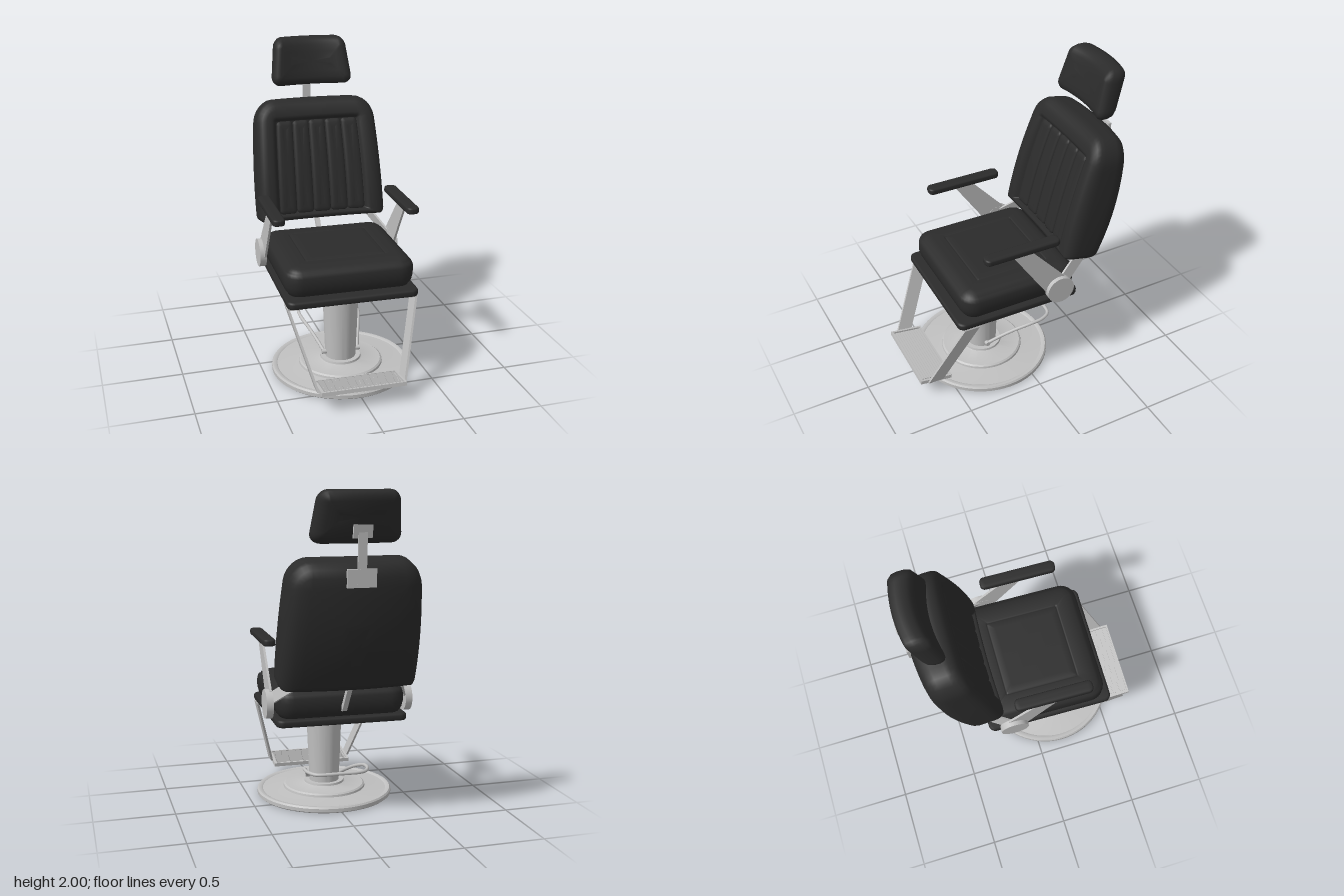
import * as THREE from 'three';
import { mergeVertices, toCreasedNormals } from 'three/addons/utils/BufferGeometryUtils.js';

const V = (x, y, z) => new THREE.Vector3(x, y, z);

// Closed rounded-rectangle loop; the bottom edge may have its own inset factor and radius
function loop(w, h, R, inset, k, Rb) {
  const x = w / 2 - inset, top = h / 2 - inset, bot = -h / 2 + inset * k;
  const rt = Math.max(R - inset, 0.008), rb = Math.max(Rb - inset, 0.008);
  const corners = [[x - rt, top - rt, rt, 0], [-x + rt, top - rt, rt, 1], [-x + rb, bot + rb, rb, 2], [x - rb, bot + rb, rb, 3]];
  const arcs = corners.map(([cx, cy, r, q]) => Array.from({ length: 7 }, (_, i) => {
    const a = (q + i / 6) * Math.PI / 2;
    return [cx + r * Math.cos(a), cy + r * Math.sin(a)];
  }));
  const pts = [];
  arcs.forEach((arc, q) => {
    pts.push(...arc);
    const a = arc[6], b = arcs[(q + 1) % 4][0];
    for (let i = 1; i < 16; i++) pts.push([a[0] + (b[0] - a[0]) * i / 16, a[1] + (b[1] - a[1]) * i / 16]);
  });
  return pts;
}

// Upholstered pad: rings of [inset, depth] run from the face centre round to the rear centre
function padGeometry(w, h, R, rings, place, k = 1, Rb = R) {
  const pos = [], index = [];
  const put = (x, s, d) => pos.push(...place(x, s, d));
  const loops = rings.map(([inset]) => loop(w, h, R, inset, k, Rb));
  const n = loops[0].length;
  loops.forEach((pts, j) => pts.forEach(([x, s]) => put(x, s, rings[j][1])));
  for (let j = 0; j < rings.length - 1; j++) for (let i = 0; i < n; i++) {
    const a = j * n + i, b = j * n + (i + 1) % n;
    index.push(a, a + n, b + n, a, b + n, b);
  }
  const last = rings.length - 1, c = rings.length * n;
  put(0, rings[0][0] * (k - 1) / 2, rings[0][1]);
  put(0, rings[last][0] * (k - 1) / 2, rings[last][1]);
  for (let i = 0; i < n; i++) {
    const e = (i + 1) % n;
    index.push(c, i, e, c + 1, last * n + e, last * n + i);
  }
  const g = new THREE.BufferGeometry();
  g.setAttribute('position', new THREE.Float32BufferAttribute(pos, 3));
  g.setIndex(index);
  g.computeVertexNormals();
  return g;
}

// Slanted block spanned by three edge vectors
function slabGeometry(center, a, b, c) {
  const m = new THREE.Matrix4().makeBasis(a, b, c);
  if (m.determinant() < 0) m.makeBasis(a.clone().negate(), b, c);
  return new THREE.BoxGeometry(1, 1, 1).applyMatrix4(m.setPosition(center));
}

// Bent shell of the backrest: x across, y up, d depth behind the face
function backShape(x, y, d) {
  const u = (y - 0.9) / 0.71;
  const thick = (0.245 + 0.2 * u - 0.245 * u * u) / 0.25;
  const hollow = 1 - (x / 0.42) ** 2;
  const z = -0.215 - 0.13 * u - 0.085 * u * u - hollow * (0.015 + 0.16 * d) - d * thick;
  return [x * (1 - 0.08 * u * u), y - 0.22 * d * thick, z];
}

export function createModel() {
  const model = new THREE.Group();
  const black = new THREE.MeshStandardMaterial({ color: 0x2b2b2b });
  black.name = 'black upholstery';
  const metal = new THREE.MeshStandardMaterial({ color: 0xc0c0c0 });
  metal.name = 'light grey metal';
  const add = (name, geometry, material, parent = model) => {
    const mesh = new THREE.Mesh(geometry, material);
    mesh.name = name;
    parent.add(mesh);
    return mesh;
  };
  const box = (name, w, h, d, x, y, z, parent) => {
    const mesh = add(name, new THREE.BoxGeometry(w, h, d), metal, parent);
    mesh.position.set(x, y, z);
    return mesh;
  };

  // Stepped round base and pump column
  const turned = (name, pts, z) => {
    const g = new THREE.LatheGeometry(pts.map(p => new THREE.Vector2(...p)), 64);
    g.deleteAttribute('uv');
    g.deleteAttribute('normal');
    add(name, toCreasedNormals(mergeVertices(g), 0.6), metal).position.z = z;
  };
  turned('base', [[0, 0], [0.43, 0], [0.44, 0.008], [0.44, 0.03], [0.432, 0.04], [0.415, 0.04], [0.405, 0.034],
    [0.29, 0.042], [0.268, 0.045], [0.265, 0.058], [0.255, 0.066], [0.14, 0.07], [0.13, 0.075], [0.127, 0.088], [0, 0.088]], 0.172);
  turned('column', [[0, 0.08], [0.097, 0.08], [0.113, 0.485], [0.12, 0.487], [0.12, 0.499], [0.116, 0.503], [0, 0.503]], 0.172);
  const rod = add('pistonRod', new THREE.CylinderGeometry(0.017, 0.017, 0.1, 24), metal);
  rod.position.set(0, 0.54, 0.215);

  // Pump lever loop around the back of the column
  const half = [[0.11, 0.12, 0.18], [0.135, 0.165, 0.1], [0.165, 0.21, 0.01], [0.195, 0.247, -0.1], [0.19, 0.253, -0.19], [0.15, 0.253, -0.25]];
  const path = [...half.map(p => V(...p)), V(0, 0.253, -0.26), ...half.map(p => V(-p[0], p[1], p[2])).reverse()];
  add('pumpLever', new THREE.TubeGeometry(new THREE.CatmullRomCurve3(path), 90, 0.011, 10), metal);
  const axle = add('leverAxle', new THREE.CylinderGeometry(0.015, 0.015, 0.25, 16).rotateZ(Math.PI / 2), metal);
  axle.position.set(0, 0.12, 0.18);

  // Seat board and seat cushion with a stitched panel
  add('seatBoard', padGeometry(0.82, 0.825, 0.045, [[0.3, 0], [0.015, 0], [0.004, 0.005], [0, 0.014], [0, 0.032], [0.004, 0.042], [0.015, 0.046], [0.3, 0.046]],
    (x, s, d) => [x, 0.627 - d, 0.09 - s]), black);
  const seatRings = [[0.3, 0], [0.2, 0], [0.163, 0], [0.158, 0.007], [0.15, 0.007], [0.145, 0], [0.08, 0.002], [0.045, 0.009], [0.026, 0.022],
    [0.022, 0.032], [0.01, 0.036], [0.002, 0.055], [0, 0.085], [0.001, 0.115], [0.01, 0.15], [0.03, 0.178], [0.045, 0.185], [0.3, 0.185]];
  add('seatCushion', padGeometry(0.81, 0.78, 0.1, seatRings, (x, s, d) => [x, 0.81 - d, 0.07 - s]), black);

  // Backrest: bolstered shell with a recessed panel of five upright ribs
  const backRings = [[0.36, 0.03], [0.3, 0.03], [0.24, 0.03], [0.18, 0.03], [0.138, 0.03], [0.128, 0.022], [0.118, 0.006], [0.1, 0], [0.065, 0],
    [0.035, 0.006], [0.014, 0.022], [0.002, 0.05], [0, 0.08], [0, 0.17], [0.008, 0.205], [0.03, 0.235], [0.07, 0.248],
    [0.12, 0.25], [0.18, 0.25], [0.25, 0.25], [0.32, 0.25], [0.36, 0.25]];
  add('backrest', padGeometry(0.84, 0.755, 0.13, backRings, (x, s, d) => backShape(x, 1.2525 + s, d), 0.35, 0.04), black);
  const ribRings = [[0.045, 0.015], [0.025, 0.015], [0.01, 0.017], [0.003, 0.021], [0, 0.028], [0, 0.045]];
  for (let i = -2; i <= 2; i++) {
    add('backRib', padGeometry(0.113, 0.58, 0.025, ribRings, (x, s, d) => backShape(x + i * 0.114, 1.208 + s, d)), black);
  }

  // Headrest, hollowed across the front and narrower at the top
  const headRings = [[0.13, 0], [0.09, 0], [0.05, 0.002], [0.025, 0.01], [0.008, 0.027], [0, 0.055], [0, 0.09], [0.008, 0.12], [0.03, 0.14],
    [0.06, 0.146], [0.1, 0.148], [0.13, 0.148]];
  add('headrest', padGeometry(0.54, 0.3, 0.06, headRings, (x, s, d) => {
    const v = s / 0.3 + 0.5;
    const front = 0.045 * (1 - (x / 0.27) ** 2);
    return [x * (1 - 0.14 * v), 1.852 + s - 0.04 * d, -0.465 - 0.08 * v - front * (1 - 2 * d) - d * (0.95 + 0.1 * v)];
  }), black);

  // Headrest bracket behind the back
  const strip = (name, y0, z0, y1, z1, w, t) => add(name, slabGeometry(
    V(0, (y0 + y1) / 2, (z0 + z1) / 2), V(w, 0, 0), V(0, y1 - y0, z1 - z0), V(0, 0, t)), metal);
  strip('headrestStalk', 1.47, -0.686, 1.8, -0.706, 0.052, 0.012);
  strip('headrestPlate', 1.735, -0.694, 1.81, -0.71, 0.11, 0.018);
  strip('backPlate', 1.46, -0.681, 1.565, -0.688, 0.17, 0.02);
  strip('backStrut', 0.67, -0.315, 0.86, -0.46, 0.03, 0.04);

  // Arms, hinges and foot straps on both sides
  const armShape = new THREE.Shape([[0.16, 1.058], [0.04, 1.058], [-0.2, 0.79], [-0.2, 0.68], [-0.09, 0.68]].map(p => new THREE.Vector2(...p)));
  const armRings = [[0.03, 0], [0.01, 0], [0.003, 0.003], [0, 0.01], [0, 0.03], [0.003, 0.037], [0.01, 0.04], [0.03, 0.04]];
  for (const s of [1, -1]) {
    const side = new THREE.Group();
    side.name = s > 0 ? 'leftSide' : 'rightSide';
    model.add(side);
    add('armPad', padGeometry(0.078, 0.495, 0.03, armRings, (x, t, d) => [x + s * 0.417, 1.092 - d, 0.09 - t]), black, side);
    const arm = add('armSupport', new THREE.ExtrudeGeometry(armShape, { depth: 0.014, bevelEnabled: false }).rotateY(-Math.PI / 2), metal, side);
    arm.position.x = s * 0.425 + 0.007;
    const disc = new THREE.CylinderGeometry(0.09, 0.09, 0.042, 40).rotateZ(Math.PI / 2);
    add('hingeDisc', disc, metal, side).position.set(s * 0.438, 0.703, -0.167);
    add('backBracket', slabGeometry(V(s * 0.375, 0.805, -0.3), V(0.014, 0, 0), V(-s * 0.11, 0.15, -0.25), V(0, -0.06, -0.05)), metal, side);
    add('footStrap', slabGeometry(V(s * 0.335, 0.343, 0.52), V(0.014, 0, 0), V(s * 0.13, 0.465, -0.205), V(0, 0, 0.1)), metal, side);
    box('strapTab', 0.085, 0.012, 0.1, s * 0.36, 0.574, 0.42, side);
  }

  // Tilted footrest with a raised rim and tread ribs
  const foot = new THREE.Group();
  foot.name = 'footrest';
  foot.position.set(0, 0.11, 0.615);
  foot.rotation.x = -0.14;
  model.add(foot);
  box('footPlate', 0.52, 0.01, 0.2, 0, -0.004, 0, foot);
  for (const s of [1, -1]) {
    box('footRimSide', 0.014, 0.024, 0.21, s * 0.257, 0, 0, foot);
    box('footRimEnd', 0.528, 0.024, 0.012, 0, 0, s * 0.1, foot);
  }
  for (let i = 0; i < 11; i++) box('treadRib', 0.48, 0.012, 0.008, 0, 0.004, (i - 5) * 0.0165, foot);

  // The chair is swivelled very slightly on its base
  model.rotation.y = -0.025;
  return model;
}
